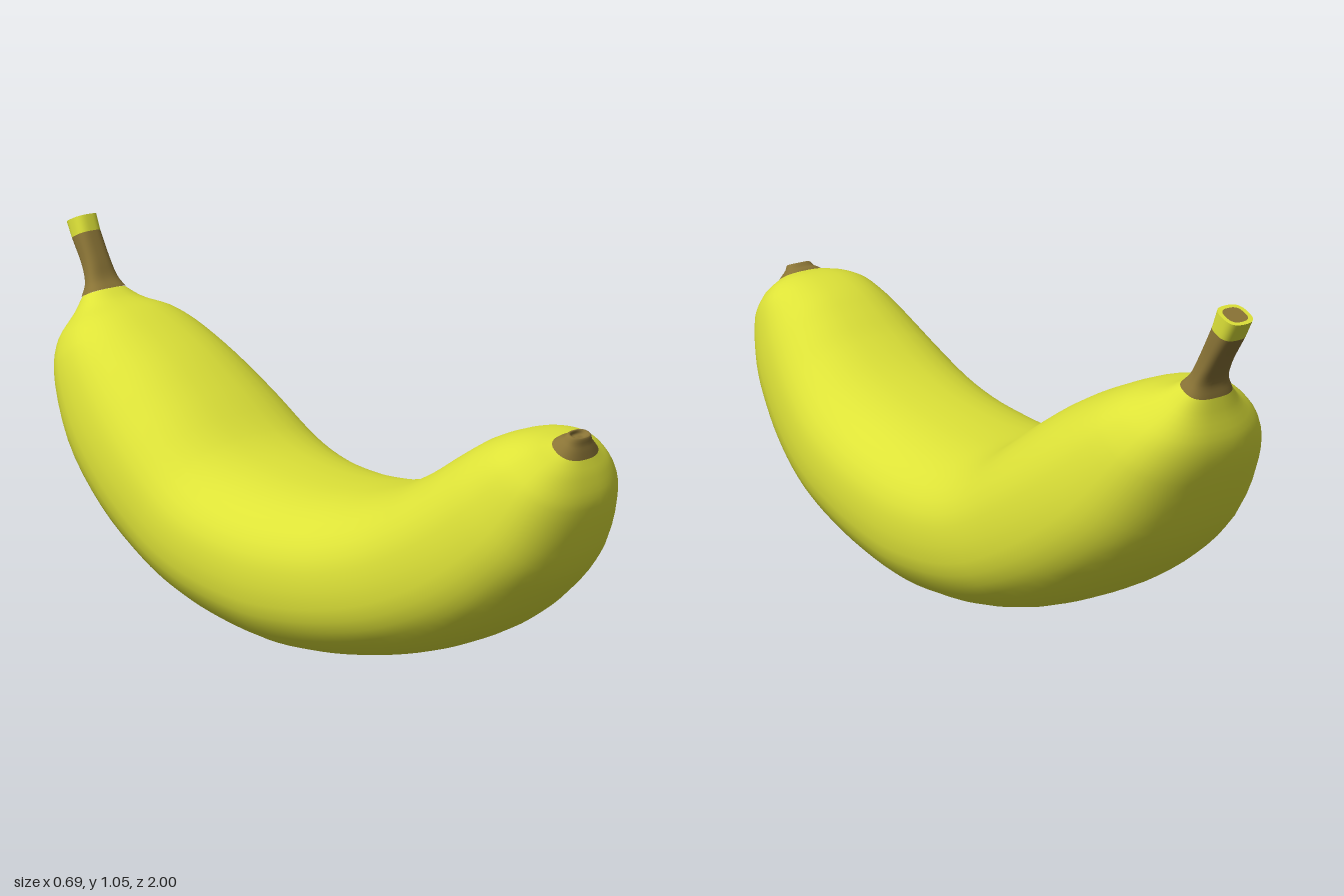
import * as THREE from 'three';

const SIDES = 40;
const yellow = new THREE.MeshStandardMaterial({ color: 0xdde238 });
const brown = new THREE.MeshStandardMaterial({ color: 0x8a7436 });

// A section is [bottom z, bottom y, top z, top y, half width, centre x].
const signedPow = (v, p) => Math.sign(v) * Math.pow(Math.abs(v), p);

// Shrink a section about its own centre.
function shrink([bz, by, tz, ty, w, cx], k) {
  const mz = (bz + tz) / 2, my = (by + ty) / 2;
  return [mz + (bz - mz) * k, my + (by - my) * k, mz + (tz - mz) * k, my + (ty - my) * k, w * k, cx];
}

// Smoothly interpolate extra sections between the given ones.
function refine(sections, steps) {
  const curve = (f) => new THREE.CatmullRomCurve3(sections.map(f), false, 'centripetal');
  const low = curve((s) => new THREE.Vector3(s[5], s[1], s[0]));
  const high = curve((s) => new THREE.Vector3(s[4], s[3], s[2]));
  const n = (sections.length - 1) * steps;
  return Array.from({ length: n + 1 }, (_, i) => {
    const a = low.getPoint(i / n), b = high.getPoint(i / n);
    return [a.z, a.y, b.z, b.y, b.x, a.x];
  });
}

// Skin a row of superellipse sections, listed from front to stem.
function loft(name, sections, material, power = 2.4) {
  const pos = [], index = [];
  for (const [bz, by, tz, ty, w, cx] of sections) {
    for (let j = 0; j < SIDES; j++) {
      const a = (j / SIDES) * Math.PI * 2;
      const u = signedPow(Math.cos(a), 2 / power);
      const v = signedPow(Math.sin(a), 2 / power);
      pos.push(cx + w * u, (by + ty) / 2 + ((ty - by) / 2) * v, (bz + tz) / 2 + ((tz - bz) / 2) * v);
    }
  }
  for (let i = 0; i < sections.length - 1; i++) {
    for (let j = 0; j < SIDES; j++) {
      const k = (j + 1) % SIDES;
      const a = i * SIDES + j, b = i * SIDES + k;
      index.push(a, a + SIDES, b, b, a + SIDES, b + SIDES);
    }
  }
  const geometry = new THREE.BufferGeometry();
  geometry.setAttribute('position', new THREE.Float32BufferAttribute(pos, 3));
  geometry.setIndex(index);
  geometry.computeVertexNormals();
  const mesh = new THREE.Mesh(geometry, material);
  mesh.name = name;
  return mesh;
}

export function createModel() {
  const group = new THREE.Group();
  group.name = 'banana';

  // Curved fruit, from blossom end to stem
  const tipEdge = [0.975, 0.68, 0.9, 0.73, 0.073, 0.018];
  const neck = [-0.905, 0.81, -0.825, 0.847, 0.072, 0.01];
  const body = [
    tipEdge,
    [0.99, 0.635, 0.85, 0.735, 0.13, 0.015],
    [1.0, 0.56, 0.79, 0.727, 0.18, 0.01],
    [0.957, 0.4, 0.72, 0.7, 0.22, 0.005],
    [0.866, 0.283, 0.65, 0.655, 0.25, 0.002],
    [0.74, 0.18, 0.57, 0.598, 0.278, 0],
    [0.58, 0.1, 0.45, 0.53, 0.303, 0],
    [0.41, 0.047, 0.32, 0.485, 0.318, -0.004],
    [0.24, 0.015, 0.2, 0.466, 0.33, -0.007],
    [0.08, 0.004, 0.08, 0.46, 0.338, -0.006],
    [-0.13, 0.027, -0.04, 0.468, 0.342, -0.004],
    [-0.27, 0.06, -0.13, 0.488, 0.342, -0.002],
    [-0.4, 0.107, -0.21, 0.525, 0.337, 0],
    [-0.61, 0.22, -0.34, 0.62, 0.32, 0],
    [-0.8, 0.39, -0.475, 0.71, 0.285, 0],
    [-0.9, 0.59, -0.61, 0.778, 0.235, 0],
    [-0.92, 0.685, -0.69, 0.808, 0.185, 0.003],
    [-0.91, 0.765, -0.775, 0.824, 0.11, 0.008],
    neck,
  ];
  group.add(loft('fruitBody', refine(body, 4), yellow));

  // Dark blossom tip: dimple, raised nub, flare onto the skin
  const nub = [0.968, 0.733, 0.93, 0.747, 0.036, 0.018];
  const dimple = shrink([0.963, 0.725, 0.925, 0.739, 0.036, 0.018], 0.55);
  const tip = [
    shrink(dimple, 0), dimple, shrink(nub, 0.8), nub,
    [0.969, 0.716, 0.918, 0.737, 0.046, 0.018],
    [0.972, 0.7, 0.908, 0.735, 0.058, 0.018],
    tipEdge,
  ];
  group.add(loft('blossomTip', refine(tip, 3), brown));

  // Stem
  const bandStart = [-0.976, 0.975, -0.912, 1.005, 0.042, 0.013];
  const bandEnd = [-1.0, 1.021, -0.928, 1.052, 0.042, 0.013];
  const stem = [
    neck,
    [-0.904, 0.848, -0.85, 0.873, 0.055, 0.012],
    [-0.926, 0.895, -0.872, 0.92, 0.045, 0.013],
    bandStart,
  ];
  group.add(loft('stem', refine(stem, 5), brown, 2.8));

  // Yellow band, its rim and the dark cut face
  const cut = shrink(bandEnd, 0.72);
  group.add(loft('stemBand', [bandStart, bandEnd], yellow, 2.8));
  group.add(loft('stemRim', [bandEnd, cut], yellow, 2.8));
  group.add(loft('stemCut', [cut, shrink(cut, 0)], brown, 2.8));

  return group;
}
